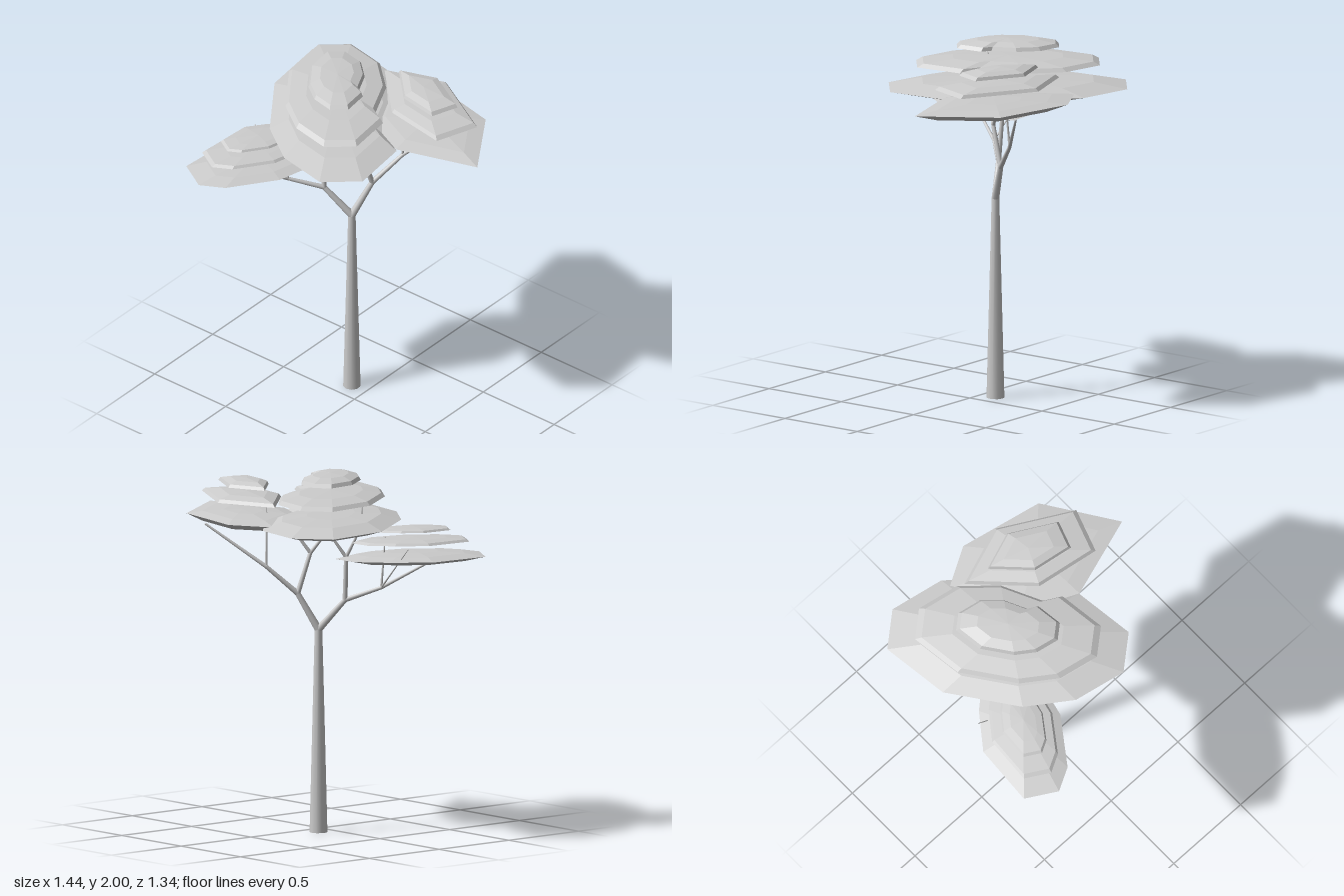
import * as THREE from 'three';

const bark = new THREE.MeshStandardMaterial({ color: 0xcccccc });
const leaf = new THREE.MeshStandardMaterial({ color: 0xcccccc, flatShading: true });

// Growth point of the tree: position and limb thickness
const node = (x, y, z, r) => ({ p: new THREE.Vector3(x, y, z), r });

// Tapered limb between two growth points, with a rounded joint at its end
function limb(name, from, to) {
  const dir = to.p.clone().sub(from.p);
  const group = new THREE.Group();
  group.name = name;
  const stem = new THREE.Mesh(
    new THREE.CylinderGeometry(to.r, Math.min(from.r, to.r * 1.7 + 0.002) || from.r, dir.length(), 10), bark);
  stem.position.copy(from.p).addScaledVector(dir, 0.5);
  stem.quaternion.setFromUnitVectors(new THREE.Vector3(0, 1, 0), dir.normalize());
  const joint = new THREE.Mesh(new THREE.SphereGeometry(to.r, 10, 6), bark);
  joint.position.copy(to.p);
  group.add(stem, joint);
  return group;
}

// Faceted foliage slab: outline [x, z] lofted through [scale, y] rings, bottom to top
function slab(name, outline, rings, size = 1) {
  const n = outline.length, verts = [];
  const box = new THREE.Box2().setFromPoints(outline.map(([x, z]) => new THREE.Vector2(x, z)));
  const c = box.getCenter(new THREE.Vector2());
  const at = (i, [s, y]) => {
    const [x, z] = outline[i % n];
    return [c.x + (x - c.x) * s * size, y, c.y + (z - c.y) * s * size];
  };
  for (let k = 0; k < rings.length - 1; k++) {
    const lo = rings[k], up = rings[k + 1];
    for (let i = 0; i < n; i++) {
      if (lo[0] > 0) verts.push(...at(i, lo), ...at(i, up), ...at(i + 1, lo));
      if (up[0] > 0) verts.push(...at(i + 1, lo), ...at(i, up), ...at(i + 1, up));
    }
  }
  const geo = new THREE.BufferGeometry();
  geo.setAttribute('position', new THREE.Float32BufferAttribute(verts, 3));
  geo.computeVertexNormals();
  const mesh = new THREE.Mesh(geo, leaf);
  mesh.name = name;
  return mesh;
}

// Lens-shaped lowest tier and flat-bottomed upper tiers
const lens = (lo, rim, hi) => [[0, lo], [0.72, lo + 0.008], [1, rim], [0.72, hi - 0.012], [0.35, hi - 0.002], [0, hi]];
const dome = (lo, hi) => [[0, lo + 0.006], [1, lo], [0.93, lo + (hi - lo) * 0.45], [0.6, hi - 0.006], [0, hi]];

function createCrowns() {
  const main = [[-0.72, -0.52], [-0.54, -0.67], [-0.23, -0.61], [0, -0.4], [0.14, -0.11],
    [0.265, -0.04], [0.31, 0.31], [0.13, 0.46], [-0.17, 0.4], [-0.41, 0.23], [-0.67, -0.13]];
  const rear = [[-0.24, -0.54], [-0.01, -0.67], [0.46, -0.57], [0.72, -0.18], [0.265, -0.035], [-0.05, -0.18]];
  const rearTop = [[-0.18, -0.48], [0.16, -0.6], [0.56, -0.375], [0.475, -0.13], [0.11, -0.19]];
  const front = [[-0.695, 0.22], [-0.55, 0.03], [-0.4, -0.1], [-0.25, -0.11], [-0.18, 0.1],
    [-0.24, 0.35], [-0.42, 0.6], [-0.55, 0.67], [-0.72, 0.57]];
  return [
    slab('mainCrownLower', main, lens(1.685, 1.73, 1.778)),
    slab('mainCrownMiddle', main, dome(1.86, 1.905), 0.77),
    slab('mainCrownTop', main, dome(1.955, 2), 0.43),
    slab('rearCrownLower', rear, lens(1.695, 1.743, 1.77)),
    slab('rearCrownMiddle', rearTop, dome(1.838, 1.878)),
    slab('rearCrownTop', rearTop, dome(1.912, 1.95), 0.635),
    slab('frontCrownLower', front, lens(1.495, 1.527, 1.558)),
    slab('frontCrownMiddle', front, dome(1.61, 1.638), 0.78),
    slab('frontCrownTop', front, dome(1.673, 1.697), 0.52),
  ];
}

function createLimbs() {
  const fork = node(-0.1, 1.12, -0.1, 0.021);
  const frontKnee = node(-0.23, 1.29, -0.02, 0.014);
  const frontElbow = node(-0.37, 1.36, 0.12, 0.01);
  const frontSplit = node(-0.25, 1.53, -0.03, 0.011);
  const frontTop = node(-0.33, 1.7, 0.01, 0.005);
  const rearKnee = node(-0.03, 1.32, -0.19, 0.015);
  const rearElbow = node(0.07, 1.47, -0.33, 0.011);
  const rearSplit = node(-0.055, 1.54, -0.12, 0.011);
  const rearTop = node(-0.14, 1.7, -0.03, 0.006);

  // Trunk
  const trunk = new THREE.Mesh(new THREE.CylinderGeometry(0.021, 0.049, 1.12, 10), bark);
  trunk.position.set(-0.1, 0.56, -0.1);
  trunk.name = 'trunk';

  return [
    trunk,
    // Front side of the fork
    limb('frontFork', fork, frontKnee),
    limb('frontBough', frontKnee, frontElbow),
    limb('frontBranch', frontElbow, node(-0.54, 1.53, 0.41, 0.005)),
    limb('frontBranch', frontElbow, node(-0.38, 1.64, 0.14, 0.003)),
    limb('frontTwig', frontElbow, node(-0.62, 1.6, 0.1, 0.002)),
    limb('frontUpright', frontKnee, frontSplit),
    limb('frontBranch', frontSplit, node(-0.185, 1.7, -0.13, 0.005)),
    limb('frontBranch', frontSplit, frontTop),
    limb('frontTwig', frontTop, node(-0.33, 1.87, 0.02, 0.002)),
    // Rear side of the fork
    limb('rearFork', fork, rearKnee),
    limb('rearBough', rearKnee, rearElbow),
    limb('rearBranch', rearElbow, node(0.31, 1.7, -0.56, 0.006)),
    limb('rearBranch', rearElbow, node(0.09, 1.8, -0.31, 0.003)),
    limb('rearUpright', rearKnee, rearSplit),
    limb('rearBranch', rearSplit, node(0.02, 1.71, -0.22, 0.005)),
    limb('rearBranch', rearSplit, rearTop),
    limb('rearTwig', rearTop, node(-0.16, 1.92, 0, 0.002)),
  ];
}

export function createModel() {
  const model = new THREE.Group();
  model.name = 'tree';
  model.add(...createLimbs(), ...createCrowns());
  return model;
}
